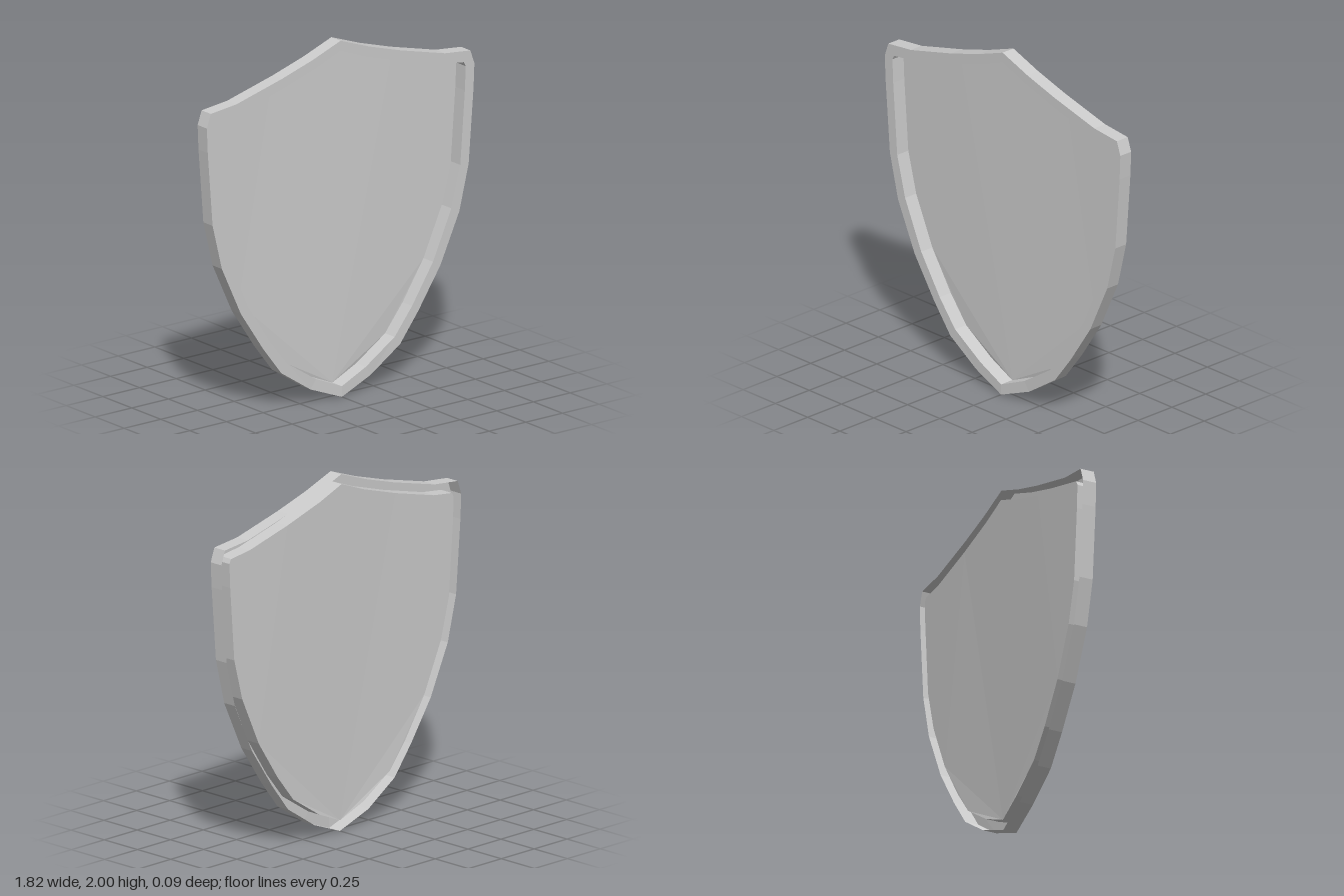
import * as THREE from 'three';

// Half outlines from the top peak round to the bottom tip, as [x, y]
const OUTER = [[0, 2], [0.19, 1.93], [0.4, 1.866], [0.71, 1.786], [0.885, 1.767], [0.912, 1.69], [0.906, 1.55],
  [0.873, 1.135], [0.81, 0.88], [0.68, 0.6], [0.53, 0.375], [0.405, 0.212], [0.205, 0.08], [0, 0]];
const INNER = [[0, 1.945], [0.165, 1.88], [0.41, 1.804], [0.7, 1.728], [0.84, 1.71], [0.853, 1.685], [0.847, 1.55],
  [0.816, 1.137], [0.755, 0.905], [0.63, 0.63], [0.487, 0.41], [0.368, 0.26], [0.17, 0.132], [0, 0.06]];

const FRONT = 0.036;
const BACK = -0.044;
const PANEL = -0.046;

// The bottom tip leans slightly forward
const lean = (x, y) => (y < 0.2 ? 0.011 * Math.max(0, 1 - Math.abs(x) / 0.2) : 0);

// Ribbon of quads between two outlines lying at depths za and zb
function ribbon(a, za, b, zb) {
  const pos = [];
  const put = ([x, y], z) => pos.push(x, y, z + lean(x, y));
  for (let i = 0; i < a.length - 1; i++) {
    put(a[i], za); put(b[i], zb); put(a[i + 1], za);
    put(b[i], zb); put(b[i + 1], zb); put(a[i + 1], za);
  }
  const geo = new THREE.BufferGeometry();
  geo.setAttribute('position', new THREE.Float32BufferAttribute(pos, 3));
  geo.computeVertexNormals();
  return geo;
}

// Half of the flat panel
function panelHalf() {
  const geo = new THREE.ShapeGeometry(new THREE.Shape(INNER.map(([x, y]) => new THREE.Vector2(x, y))));
  const p = geo.attributes.position;
  for (let i = 0; i < p.count; i++) p.setZ(i, PANEL + lean(p.getX(i), p.getY(i)));
  geo.computeVertexNormals();
  return geo;
}

export function createModel() {
  const group = new THREE.Group();
  group.name = 'shield';
  const material = new THREE.MeshStandardMaterial({ color: 0xcccccc, flatShading: true, side: THREE.DoubleSide });

  // The rim is a channel open at the back; the panel closes its inner wall
  const parts = {
    rimOuterWall: ribbon(OUTER, BACK, OUTER, FRONT),
    rimFace: ribbon(OUTER, FRONT, INNER, FRONT),
    rimInnerWall: ribbon(INNER, FRONT, INNER, PANEL),
    panel: panelHalf(),
  };

  // Left half and its mirror image
  for (const [side, sign] of [['left', 1], ['right', -1]]) {
    const half = new THREE.Group();
    half.name = side + 'Half';
    half.scale.x = sign;
    for (const [name, geo] of Object.entries(parts)) {
      const mesh = new THREE.Mesh(geo, material);
      mesh.name = name;
      half.add(mesh);
    }
    group.add(half);
  }
  return group;
}
